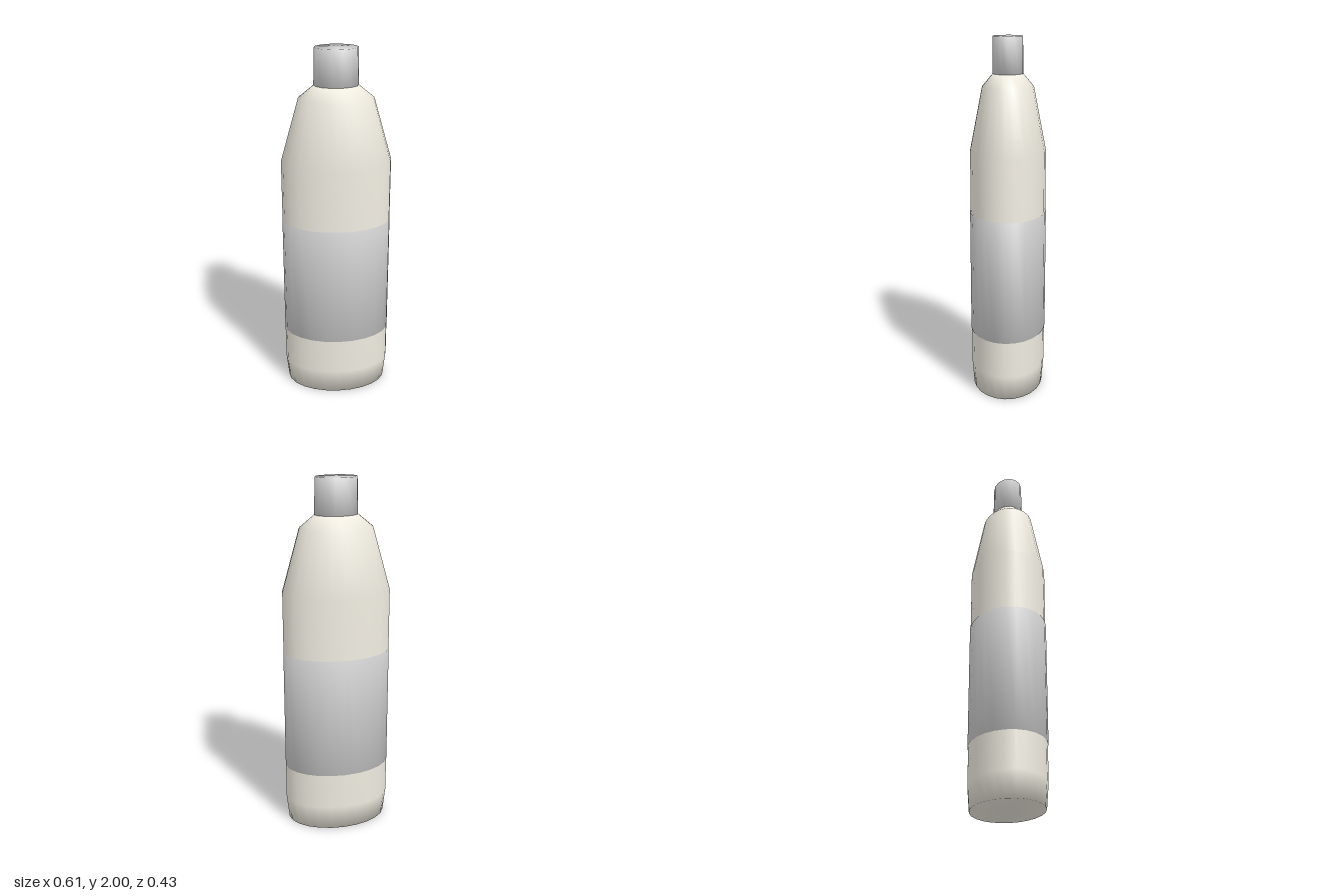
import * as THREE from 'three';

const DEPTH = 0.7; // oval cross-section: depth relative to width

// Smooth oval solid turned from [radius, height] points, closed on the axis
function ovalSolid(name, points, sides, color, depth = DEPTH) {
  const profile = points.map(([r, y]) => new THREE.Vector2(r, y));
  const geometry = new THREE.LatheGeometry(profile, sides, Math.PI / 2);
  geometry.scale(1, 1, depth);
  const mesh = new THREE.Mesh(geometry, new THREE.MeshStandardMaterial({ color }));
  mesh.name = name;
  return mesh;
}

export function createModel() {
  const group = new THREE.Group();
  group.name = 'bottle';

  // Cream body: tapered foot, straight sides, sloping shoulder
  group.add(ovalSolid('body', [
    [0, 0], [0.288, 0], [0.304, 0.14], [0.304, 1.38],
    [0.205, 1.73], [0.12, 1.8], [0, 1.8],
  ], 24, 0xefebe0, 0.695));

  // Label band, slightly proud of the body at front and back
  group.add(ovalSolid('label', [
    [0, 0.345], [0.305, 0.345], [0.305, 1.035], [0, 1.035],
  ], 24, 0xcccccc, 0.705));

  // Cap with a slight taper
  group.add(ovalSolid('cap', [
    [0, 1.8], [0.122, 1.8], [0.118, 2], [0, 2],
  ], 14, 0xcccccc));

  return group;
}
